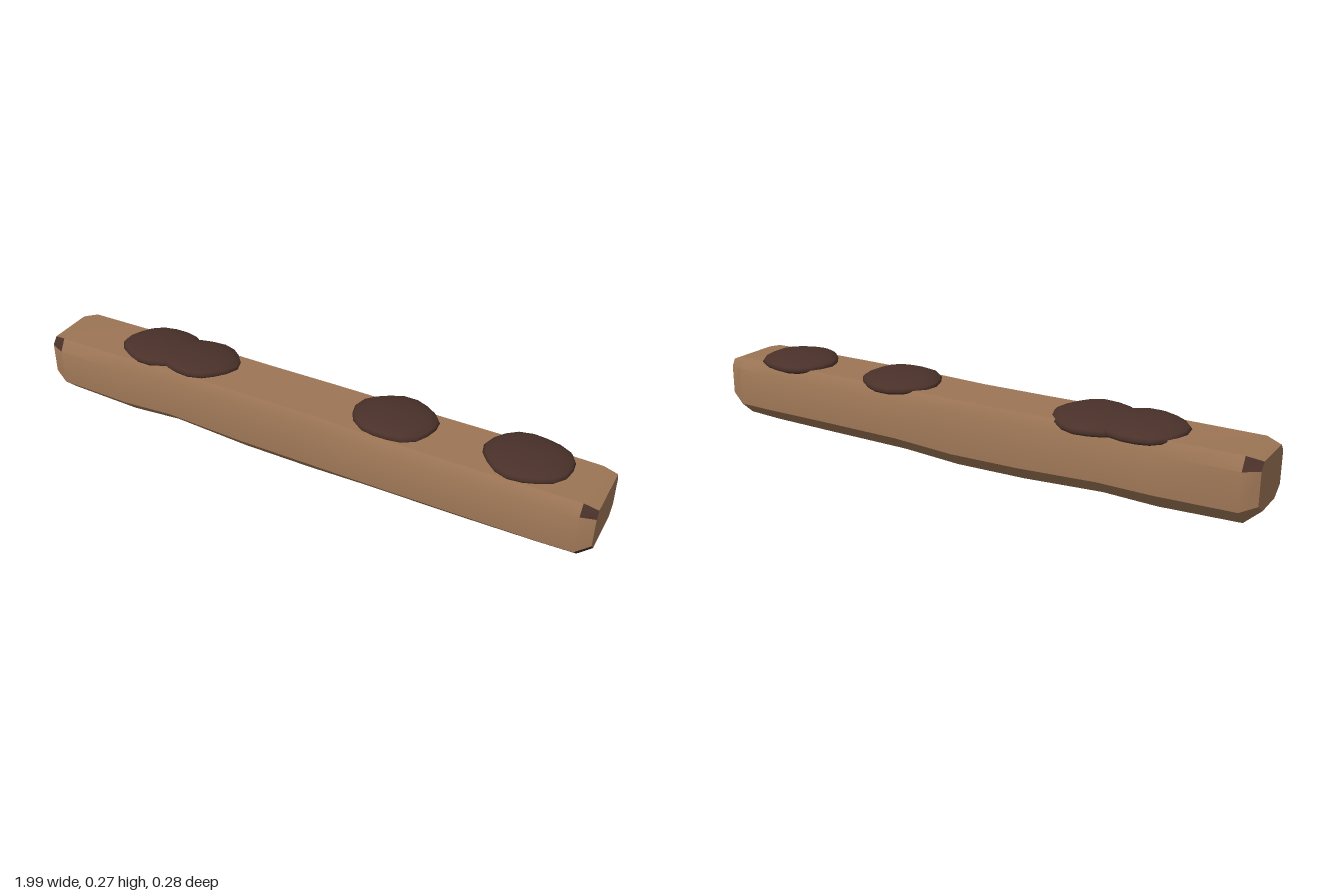
import * as THREE from 'three';
import { toCreasedNormals } from 'three/addons/utils/BufferGeometryUtils.js';

// Stations along the beam: x, back z, front z, bottom y, top y, bevel width, bevel height
const STATIONS = [
  [-0.995, -0.09, 0.11, 0.06, 0.222, 0.03, 0.03],
  [-0.945, -0.112, 0.13, 0.016, 0.235, 0.035, 0.052],
  [-0.68, -0.114, 0.131, 0.008, 0.236, 0.035, 0.055],
  [-0.5, -0.115, 0.12, 0.016, 0.237, 0.033, 0.05],
  [-0.22, -0.114, 0.12, 0.003, 0.234, 0.03, 0.05],
  [0.03, -0.115, 0.119, 0, 0.234, 0.03, 0.05],
  [0.25, -0.118, 0.136, 0.008, 0.235, 0.038, 0.055],
  [0.55, -0.119, 0.139, 0.01, 0.235, 0.038, 0.055],
  [0.82, -0.118, 0.138, 0.012, 0.235, 0.038, 0.052],
  [0.945, -0.112, 0.133, 0.018, 0.234, 0.033, 0.045],
  [0.992, -0.1, 0.12, 0.066, 0.222, 0.02, 0.03],
];

// Eight corners, counter-clockwise seen from +x, starting at the top back
function ring([x, zb, zf, yb, yt, w, h]) {
  return [
    [x, yt, zb + w * 0.7], [x, yt, zf - w * 0.7],
    [x, yt - h * 0.8, zf], [x, yb + h, zf],
    [x, yb, zf - w * 1.5], [x, yb, zb + w * 1.5],
    [x, yb + h, zb], [x, yt - h * 0.8, zb],
  ];
}

function beamGeometry() {
  const wood = [], chipped = [];
  const rings = STATIONS.map(ring);
  const last = rings.length - 1;
  for (let s = 0; s < last; s++) {
    const a = rings[s], b = rings[s + 1];
    for (let i = 0; i < 8; i++) {
      const j = (i + 1) % 8;
      // Worn corners at both ends are dark
      const dark = (s === 0 && (i === 1 || i === 7)) ||
        (s === last - 1 && [1, 3, 4, 5].includes(i));
      (dark ? chipped : wood).push(...a[i], ...a[j], ...b[i], ...a[j], ...b[j], ...b[i]);
    }
  }
  // End caps
  for (let i = 1; i < 7; i++) {
    const a = rings[0], b = rings[last];
    wood.push(...a[0], ...a[i + 1], ...a[i], ...b[0], ...b[i], ...b[i + 1]);
  }
  const geo = new THREE.BufferGeometry();
  geo.setAttribute('position', new THREE.Float32BufferAttribute([...wood, ...chipped], 3));
  geo.addGroup(0, wood.length / 3, 0);
  geo.addGroup(wood.length / 3, chipped.length / 3, 1);
  return toCreasedNormals(geo, 0.6);
}

// Flattened lump with a slightly uneven rim
function patchGeometry(seed) {
  const geo = new THREE.SphereGeometry(1, 18, 10);
  const p = geo.attributes.position;
  for (let i = 0; i < p.count; i++) {
    const x = p.getX(i), y = p.getY(i), z = p.getZ(i);
    const angle = Math.atan2(z, x);
    const k = 1 + 0.025 * Math.sin(angle * 5 + seed) + 0.015 * Math.sin(angle * 3 - seed * 2);
    p.setXYZ(i, x * k, y, z * k);
  }
  geo.computeVertexNormals();
  // Match normals along the sphere's seam
  const n = geo.attributes.normal;
  for (let r = 0; r <= 10; r++) {
    const a = r * 19, b = a + 18;
    const v = new THREE.Vector3().fromBufferAttribute(n, a)
      .add(new THREE.Vector3().fromBufferAttribute(n, b)).normalize();
    n.setXYZ(a, v.x, v.y, v.z);
    n.setXYZ(b, v.x, v.y, v.z);
  }
  return geo;
}

export function createModel() {
  const group = new THREE.Group();
  group.name = 'woodenBeam';
  const wood = new THREE.MeshStandardMaterial({ color: 0x9c7555 });
  wood.name = 'wood';
  const darkWood = new THREE.MeshStandardMaterial({ color: 0x4a312a });
  darkWood.name = 'darkWood';

  const beam = new THREE.Mesh(beamGeometry(), [wood, darkWood]);
  beam.name = 'beam';
  group.add(beam);

  // Dark lumps on top: x, y, z, tilt
  [
    [-0.602, 0.237, -0.014, -0.06],
    [-0.446, 0.235, -0.016, -0.1],
    [0.292, 0.237, -0.011, -0.05],
    [0.735, 0.239, -0.012, -0.04],
  ].forEach(([x, y, z, tilt], i) => {
    const patch = new THREE.Mesh(patchGeometry(i * 1.7), darkWood);
    patch.name = 'patch' + (i + 1);
    patch.position.set(x, y, z);
    patch.rotation.x = tilt;
    patch.scale.set(0.142, 0.031, 0.126);
    group.add(patch);
  });
  return group;
}
